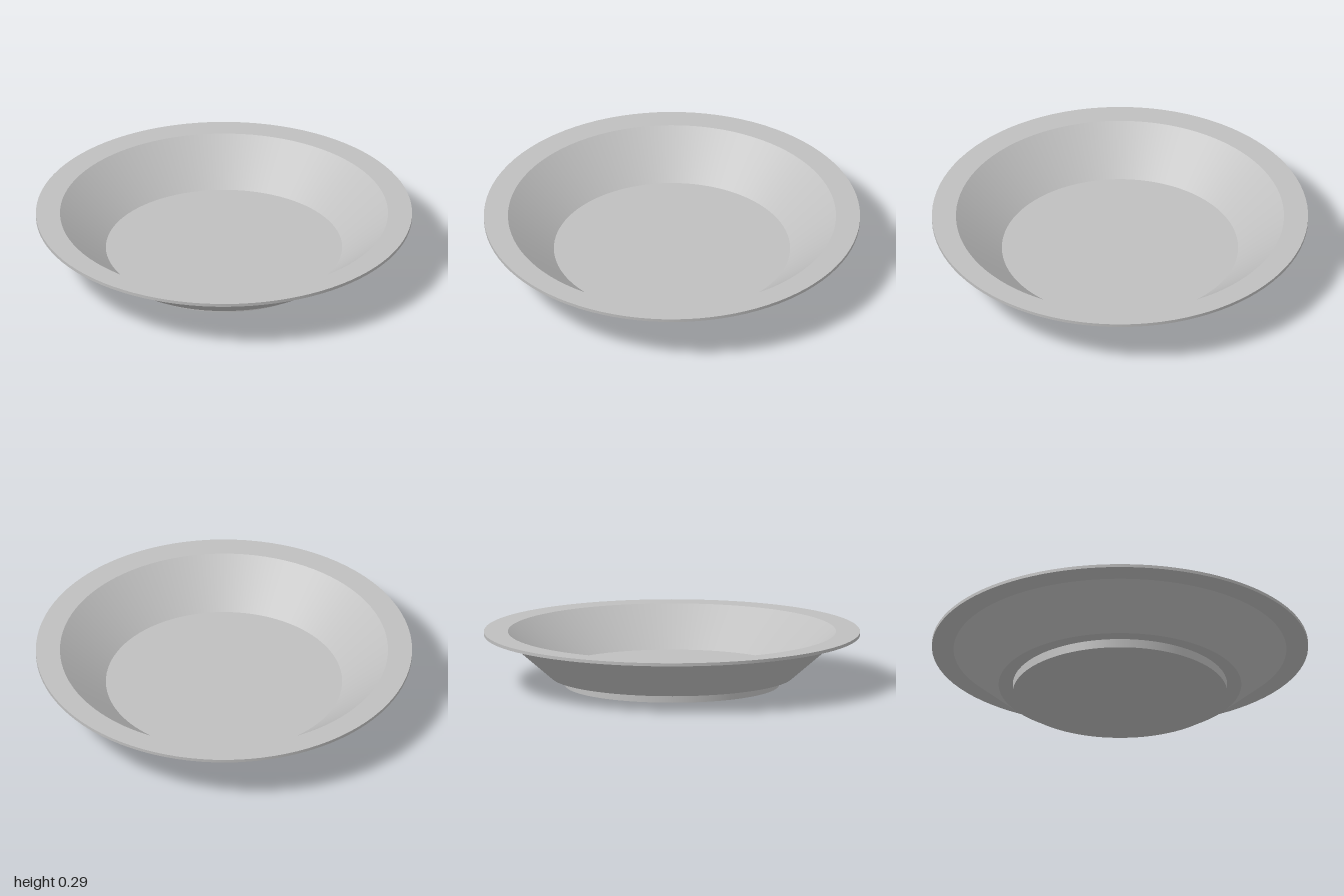
import * as THREE from 'three';

const SEGMENTS = 96;

export function createModel() {
  const plate = new THREE.Group();
  plate.name = 'plate';
  const ceramic = new THREE.MeshStandardMaterial({ color: 0xbfbfbf });
  ceramic.name = 'grey ceramic';

  // One smooth ring between two [radius, height] points; separate rings keep edges crisp.
  // Points run outward along undersides and inward along the top, so faces point out.
  const ring = (name, from, to) => {
    const points = [new THREE.Vector2(...from), new THREE.Vector2(...to)];
    const mesh = new THREE.Mesh(new THREE.LatheGeometry(points, SEGMENTS), ceramic);
    mesh.name = name;
    plate.add(mesh);
  };

  // Closed cross-section, from the centre of the base round to the centre of the floor
  const profile = [
    ['footBase', [0, 0]],
    ['footWall', [0.57, 0]],
    ['underside', [0.57, 0.048]],
    ['outerWall', [0.645, 0.048]],
    ['rimUnderside', [0.885, 0.255]],
    ['rimEdge', [1, 0.27]],
    ['rimTop', [1, 0.287]],
    ['innerWall', [0.872, 0.287]],
    ['floor', [0.628, 0.08]],
    ['end', [0, 0.08]],
  ];
  for (let i = 0; i < profile.length - 1; i++) {
    ring(profile[i][0], profile[i][1], profile[i + 1][1]);
  }
  return plate;
}
